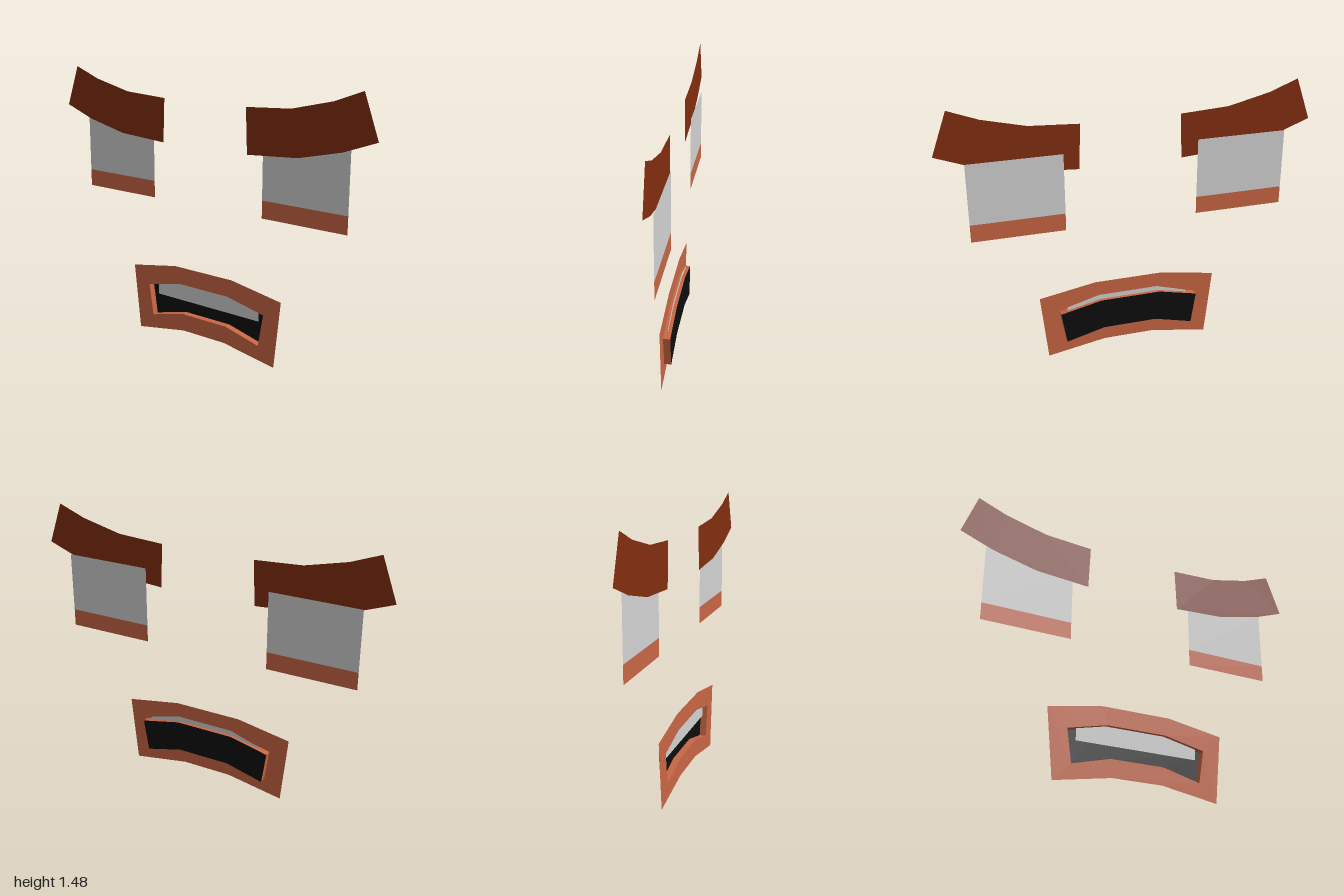
import * as THREE from 'three';

const material = (name, color) =>
  new THREE.MeshStandardMaterial({ name, color, side: THREE.DoubleSide });

export function createModel() {
  const skin = material('skin orange', 0xc86644);
  const hair = material('brow brown', 0x822d0f);
  const white = material('pale grey', 0xd2d2d2);
  const dark = material('mouth black', 0x0d0d0d);

  const FRONT = 0.019, MIDDLE = 0, BACK = -0.019;
  const model = new THREE.Group();
  model.name = 'face';

  const toPoints = (pts) => pts.map(([x, y]) => new THREE.Vector2(x, y));

  // Flat cut-out at a given depth, with an optional hole
  function plate(name, pts, z, mat, hole) {
    const shape = new THREE.Shape(toPoints(pts));
    if (hole) shape.holes.push(new THREE.Path(toPoints(hole)));
    const mesh = new THREE.Mesh(new THREE.ShapeGeometry(shape), mat);
    mesh.name = name;
    mesh.position.z = z;
    model.add(mesh);
  }

  const rect = (x0, y0, x1, y1) => [[x0, y0], [x1, y0], [x1, y1], [x0, y1]];

  // Eyes, lower lids and brows, mirrored
  const brow = [
    [1, 1.26], [0.917, 1.487], [0.76, 1.427], [0.53, 1.372],
    [0.266, 1.357], [0.276, 1.115], [0.575, 1.135], [0.82, 1.193],
  ];
  for (const [side, s] of [['left', 1], ['right', -1]]) {
    const flip = (pts) => pts.map(([x, y]) => [x * s, y]);
    plate(side + 'Brow', flip(brow), MIDDLE, hair);
    plate(side + 'Eye', flip(rect(0.36, 0.885, 0.853, 1.213)), BACK, white);
    plate(side + 'LowerLid', flip(rect(0.36, 0.79, 0.853, 0.885)), BACK, skin);
  }

  // Lips: an arched frame around the mouth opening
  const lips = [
    [-0.488, 0.377], [-0.185, 0.43], [0.2, 0.43], [0.512, 0.377],
    [0.475, 0.003], [0.152, 0.058], [-0.13, 0.058], [-0.45, 0.003],
  ];
  const opening = [
    [-0.378, 0.281], [-0.16, 0.331], [0.175, 0.331], [0.405, 0.281],
    [0.375, 0.101], [0.162, 0.156], [-0.138, 0.156], [-0.352, 0.101],
  ];
  plate('lips', lips, FRONT, skin, opening);
  plate('mouthInside', opening, BACK, dark);

  // Upper teeth, set inside the recess and reaching up behind the lips
  plate('upperTeeth', [
    [-0.323, 0.23], [0.365, 0.23], [0.365, 0.31],
    [0.185, 0.358], [-0.15, 0.358], [-0.323, 0.305],
  ], MIDDLE, white);

  // Walls joining the lips to the back of the mouth
  opening.forEach(([x0, y0], i) => {
    const [x1, y1] = opening[(i + 1) % opening.length];
    const wall = new THREE.Mesh(
      new THREE.PlaneGeometry(Math.hypot(x1 - x0, y1 - y0), FRONT - BACK), skin);
    wall.name = 'mouthWall' + (i + 1);
    wall.geometry.rotateX(-Math.PI / 2);
    wall.rotation.z = Math.atan2(y1 - y0, x1 - x0);
    wall.position.set((x0 + x1) / 2, (y0 + y1) / 2, (FRONT + BACK) / 2);
    model.add(wall);
  });

  return model;
}
